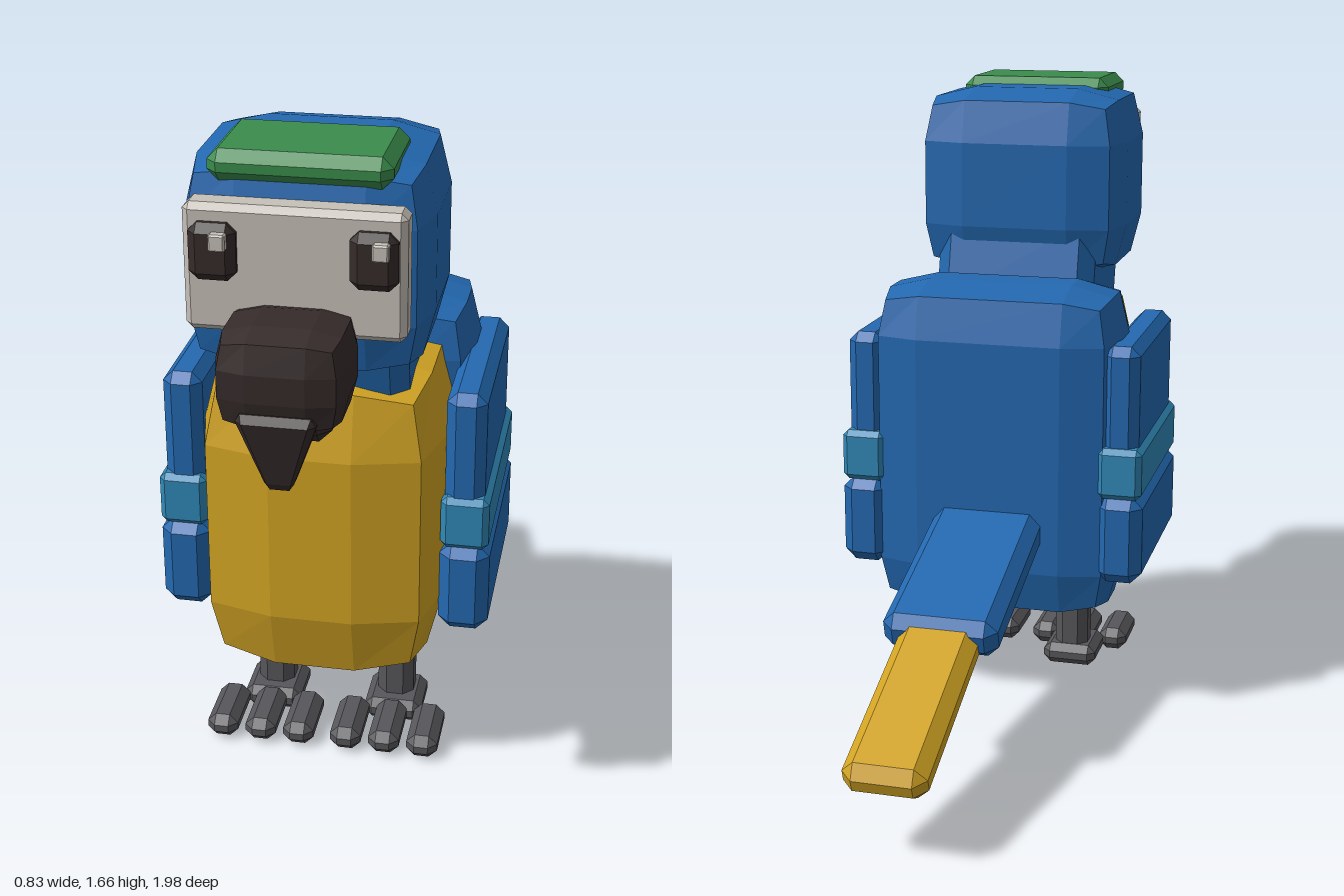
import * as THREE from 'three';
import { ConvexGeometry } from 'three/addons/geometries/ConvexGeometry.js';

const mat = (name, color) => {
  const m = new THREE.MeshStandardMaterial({ color });
  m.name = name;
  return m;
};

// Box with flat single-step bevels; the lower end can be narrowed by taper factors
function chamferBox(w, h, d, r, taperX = 1, taperZ = 1) {
  const pts = [];
  for (const sx of [-1, 1]) for (const sy of [-1, 1]) for (const sz of [-1, 1]) {
    for (let axis = 0; axis < 3; axis++) {
      const p = [w / 2, h / 2, d / 2].map((half, i) => (i === axis ? half : half - r));
      const t = 0.5 - (sy * p[1]) / h;
      pts.push(new THREE.Vector3(
        sx * p[0] * (1 + (taperX - 1) * t), sy * p[1], sz * p[2] * (1 + (taperZ - 1) * t)));
    }
  }
  return new ConvexGeometry(pts);
}

// Box with plump two-step bevels, faceted
function softBox(w, h, d, r) {
  const g = new THREE.BoxGeometry(1, 1, 1, 3, 3, 3).toNonIndexed();
  const pos = g.attributes.position;
  const half = [w / 2, h / 2, d / 2];
  for (let i = 0; i < pos.count; i++) {
    const p = [pos.getX(i), pos.getY(i), pos.getZ(i)];
    const outer = p.map((v) => Math.abs(v) > 0.4);
    const bulge = [0, 1, 0.8, 0.68][outer.filter(Boolean).length];
    pos.setXYZ(i, ...p.map((v, k) => Math.sign(v) * (half[k] - r + (outer[k] ? r * bulge : 0))));
  }
  g.computeVertexNormals();
  return g;
}

export function createModel() {
  const blue = mat('blue feathers', 0x2368b0);
  const yellow = mat('yellow feathers', 0xd2a424);
  const teal = mat('teal wing band', 0x3089b8);
  const green = mat('green crown', 0x3a8c4c);
  const pale = mat('pale face', 0xc6c0b8);
  const dark = mat('dark beak', 0x352b2a);
  const grey = mat('grey legs', 0x57575b);

  const bird = new THREE.Group();
  bird.name = 'parrot';

  const add = (name, geometry, material, x, y, z, rx = 0) => {
    const mesh = new THREE.Mesh(geometry, material);
    mesh.name = name;
    mesh.position.set(x, y, z);
    mesh.rotation.x = rx;
    bird.add(mesh);
    return mesh;
  };
  // Place a part by its extents on each axis
  const span = (name, make, material, [x0, x1], [y0, y1], [z0, z1], r, ...taper) =>
    add(name, make(x1 - x0, y1 - y0, z1 - z0, r, ...taper), material,
      (x0 + x1) / 2, (y0 + y1) / 2, (z0 + z1) / 2);

  // Body, neck and head
  span('back', softBox, blue, [-0.335, 0.335], [0.245, 1.15], [-0.065, 0.31], 0.14);
  span('belly', softBox, yellow, [-0.3, 0.3], [0.255, 1.09], [0.08, 0.65], 0.2);
  add('neck', chamferBox(0.44, 0.3, 0.38, 0.04), blue, 0, 1.13, 0.4, 0.25);
  span('head', softBox, blue, [-0.285, 0.285], [1.13, 1.637], [0.22, 0.73], 0.14);
  span('crown', chamferBox, green, [-0.205, 0.205], [1.585, 1.657], [0.455, 0.727], 0.025);

  // Face
  span('facePlate', chamferBox, pale, [-0.247, 0.247], [1.26, 1.555], [0.7, 0.777], 0.015);
  for (const s of [-1, 1]) {
    const x = s * 0.177;
    span('eye', chamferBox, dark, [x - 0.053, x + 0.053], [1.386, 1.517], [0.75, 0.807], 0.02);
    span('eyeGlint', chamferBox, pale, [x, x + 0.037], [1.463, 1.502], [0.79, 0.823], 0.004);
  }

  // Beak
  span('upperBeak', softBox, dark, [-0.145, 0.145], [1.112, 1.337], [0.72, 0.985], 0.08);
  span('beakHook', chamferBox, dark, [-0.095, 0.095], [0.975, 1.165], [0.867, 1.0], 0.018, 0.28, 0.38);
  span('lowerBeak', chamferBox, dark, [-0.09, 0.09], [1.03, 1.115], [0.72, 0.845], 0.03);

  // Tail, sloping down behind
  add('tailBase', chamferBox(0.295, 0.105, 0.6, 0.03), blue, 0, 0.448, -0.243, -0.276);
  add('tailTip', chamferBox(0.205, 0.09, 0.55, 0.03), yellow, 0, 0.282, -0.722, -0.345);

  for (const s of [-1, 1]) {
    const side = (a, b) => (s > 0 ? [a, b] : [-b, -a]);

    // Wings
    span('wingUpper', chamferBox, blue, side(0.3, 0.398), [0.7, 1.012], [-0.03, 0.495], 0.025);
    span('wingBand', chamferBox, teal, side(0.293, 0.412), [0.605, 0.743], [-0.05, 0.508], 0.015);
    span('wingLower', chamferBox, blue, side(0.29, 0.415), [0.37, 0.61], [-0.055, 0.512], 0.03);

    // Legs and feet
    span('leg', chamferBox, grey, side(0.115, 0.209), [0.03, 0.42], [0.257, 0.353], 0.025);
    span('foot', chamferBox, grey, side(0.087, 0.237), [0.0, 0.06], [0.235, 0.4], 0.02);
    for (const t of [-1, 0, 1]) {
      const x = 0.162 + t * 0.1;
      span('toe', chamferBox, grey, side(x - 0.04, x + 0.04), [0.002, 0.065], [0.37, 0.555], 0.022);
    }
  }
  return bird;
}
